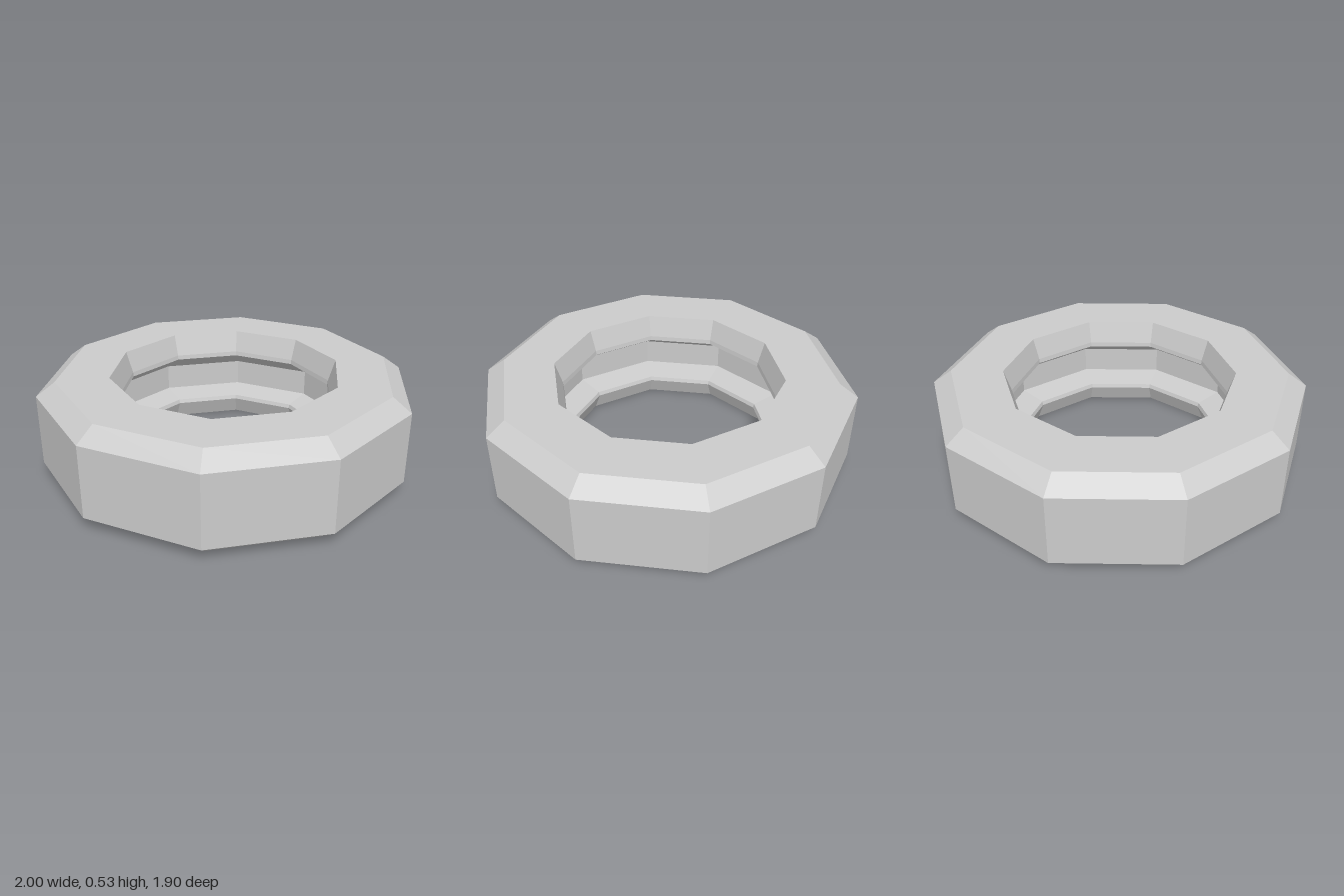
import * as THREE from 'three';

export function createModel() {
  const group = new THREE.Group();
  const material = new THREE.MeshStandardMaterial({ color: 0xcccccc, flatShading: true });

  // Closed cross-section [radius, height], counter-clockwise from the bottom face
  const section = [
    [0.62, 0], [0.9, 0], [1, 0.075], [1, 0.46], [0.9, 0.533], // outside with bevels
    [0.62, 0.533], [0.583, 0.415], [0.58, 0.39],              // upper lip
    [0.73, 0.294], [0.73, 0.147],                             // inner groove
    [0.583, 0.122], [0.576, 0.1], [0.62, 0],                  // lower lip
  ].map(([r, y]) => new THREE.Vector2(r, y));

  // Ten-sided ring with corners on the x axis
  const ring = new THREE.Mesh(new THREE.LatheGeometry(section, 10, Math.PI / 2), material);
  ring.name = 'groovedRing';
  group.add(ring);
  return group;
}
